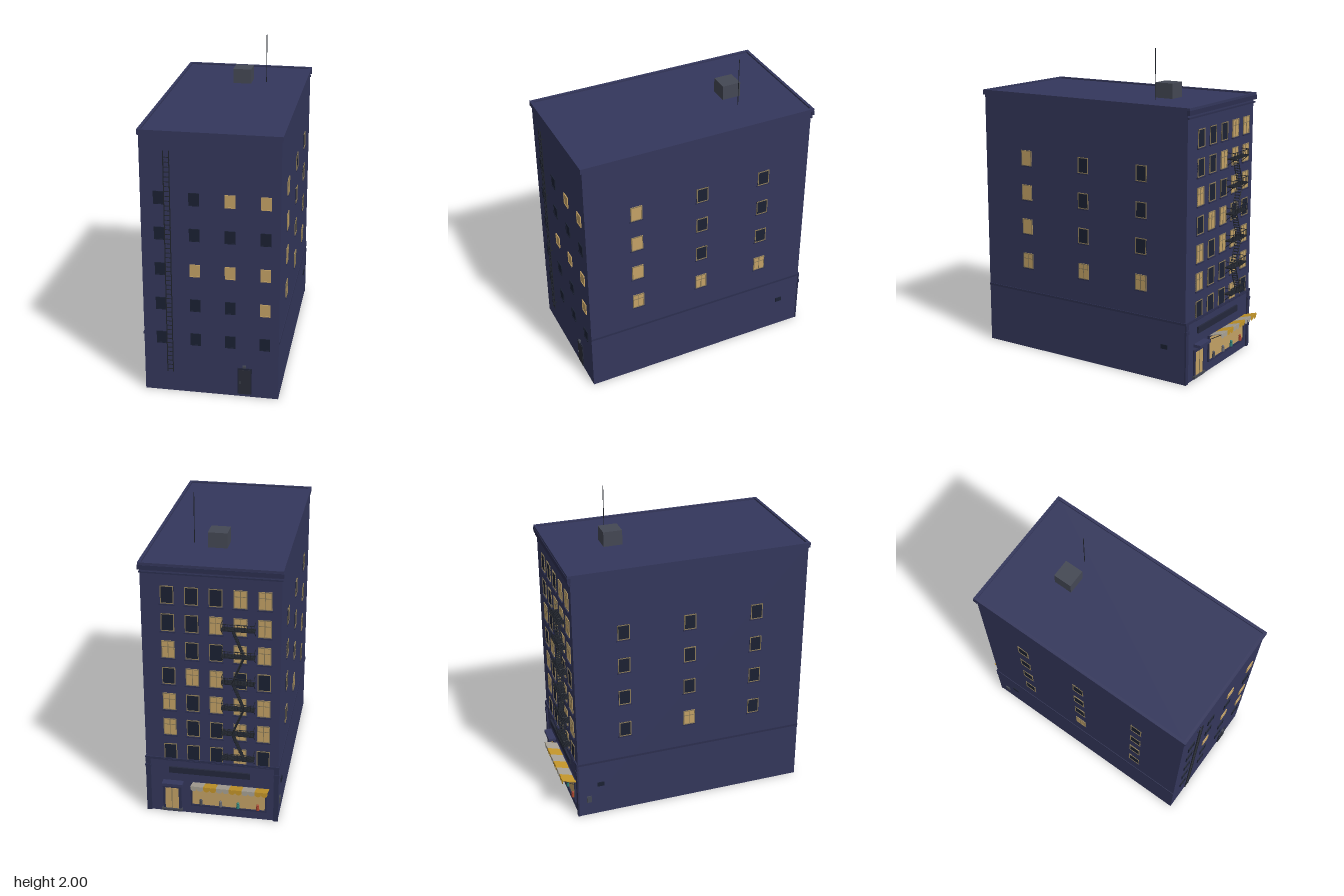
import * as THREE from 'three';

const mats = {};
const mat = (c) => (mats[c] ??= new THREE.MeshStandardMaterial({ color: c, side: THREE.DoubleSide }));
const WALL = 0x34375c, TRIM = 0x2c2f50, LIT = 0xc4a266, DARK = 0x1b2133, FRAME = 0x8a7a58,
  IRON = 0x20242c, GREY = 0x444854, GOLD = 0xc4962a, CREAM = 0xa8a296;

function add(parent, name, geometry, color, x, y, z) {
  const m = new THREE.Mesh(geometry, mat(color));
  m.name = name;
  m.position.set(x, y, z);
  parent.add(m);
  return m;
}
const box = (p, name, c, w, h, d, x, y, z) => add(p, name, new THREE.BoxGeometry(w, h, d), c, x, y, z);

// Group whose local z = 0 is a wall surface, with +z pointing outward
function wall(root, name, x, z, turn) {
  const g = new THREE.Group();
  g.name = name;
  g.position.set(x, 0, z);
  g.rotation.y = turn;
  root.add(g);
  return g;
}

// Straight bar between two points
function bar(p, name, a, b, r, c = IRON) {
  const A = new THREE.Vector3(...a), B = new THREE.Vector3(...b), d = B.clone().sub(A);
  const m = add(p, name, new THREE.CylinderGeometry(r, r, d.length(), 6), c, 0, 0, 0);
  m.position.copy(A).add(B).multiplyScalar(0.5);
  m.quaternion.setFromUnitVectors(new THREE.Vector3(0, 1, 0), d.normalize());
}

// Window: glass, four frame strips, optional glazing bars and sill
function windowUnit(p, x, y, w, h, lit, { frame = FRAME, t = 0.005, bars = false, sill = 0 } = {}) {
  const g = new THREE.Group();
  g.name = 'window';
  g.position.set(x, y, 0);
  p.add(g);
  box(g, 'glass', lit ? LIT : DARK, w, h, 0.004, 0, 0, 0.001);
  for (const s of [-1, 1]) {
    box(g, 'frameSide', frame, t, h, 0.008, s * (w - t) / 2, 0, 0.002);
    box(g, 'frameRail', frame, w, t, 0.008, 0, s * (h - t) / 2, 0.002);
  }
  if (bars) {
    box(g, 'mullion', frame, 0.004, h, 0.006, 0, 0, 0.002);
    box(g, 'transom', frame, w, 0.004, 0.006, 0, h * 0.15, 0.002);
  }
  if (sill) box(g, 'sill', TRIM, w + 0.012, 0.008, sill, 0, -h / 2 - 0.004, sill / 2);
}

function buildRearWall(g) {
  // Plain windows, four columns by five rows
  const lit = ['0011', '0000', '0111', '0001', '0000'];
  [1.285, 1.06, 0.83, 0.6, 0.37].forEach((y, r) => [-0.305, -0.095, 0.118, 0.33].forEach((x, c) => {
    const on = lit[r][c] === '1';
    windowUnit(g, x, y, 0.063, 0.08, on, { frame: on ? LIT : DARK });
  }));
  // Service ladder
  for (const x of [-0.27, -0.235]) {
    box(g, 'ladderRail', IRON, 0.005, 1.44, 0.005, x, 0.86, 0.015);
    for (const y of [0.2, 0.65, 1.1, 1.52]) box(g, 'ladderBracket', IRON, 0.004, 0.004, 0.015, x, y, 0.007);
  }
  for (let y = 0.16; y < 1.57; y += 0.03) box(g, 'ladderRung', IRON, 0.035, 0.004, 0.004, -0.2525, y, 0.015);
  // Service door and lamp
  box(g, 'doorFrame', 0x22263a, 0.088, 0.178, 0.008, 0.207, 0.108, 0.002);
  box(g, 'serviceDoor', 0x2a2d38, 0.074, 0.168, 0.008, 0.207, 0.103, 0.004);
  box(g, 'doorHandle', GREY, 0.006, 0.012, 0.008, 0.18, 0.1, 0.01);
  box(g, 'doorLamp', GREY, 0.02, 0.014, 0.014, 0.205, 0.21, 0.007);
}

function buildSideWall(g, columns, lit) {
  [1.28, 1.055, 0.83, 0.6].forEach((y, r) => columns.forEach((x, c) => {
    const on = lit[r][c] === '1';
    windowUnit(g, x, y, 0.077, 0.1, on, { bars: on && r === 3, sill: 0.006 });
  }));
  box(g, 'band', TRIM, 1.51, 0.014, 0.006, 0, 0.388, 0.002);
}

function buildFireEscape(g) {
  const x0 = 0.07, x1 = 0.265, mid = (x0 + x1) / 2, depth = 0.052, step = 0.174;
  for (let i = 0; i < 6; i++) {
    const y = 0.45 + i * step, top = y + 0.04;
    for (let k = 0; k < 6; k++) box(g, 'platformSlat', IRON, x1 - x0, 0.006, 0.007, mid, y, 0.006 + k * 0.0092);
    for (const x of [x0, x1]) {
      box(g, 'platformEnd', IRON, 0.005, 0.008, depth, x, y, depth / 2);
      bar(g, 'endRail', [x, top, 0], [x, top, depth], 0.002);
      bar(g, 'bracket', [x, y - 0.045, 0], [x, y, depth], 0.002);
    }
    bar(g, 'frontRail', [x0, top, depth], [x1, top, depth], 0.0022);
    for (let k = 0; k <= 10; k++) {
      const x = x0 + (x1 - x0) * k / 10;
      bar(g, 'baluster', [x, y, depth], [x, top, depth], 0.0014);
    }
    // Steep stair up to the next platform, alternating direction
    if (i < 5) {
      const s = i % 2 ? 1 : -1, a = mid - s * 0.035, b = mid + s * 0.035;
      for (const z of [0.01, 0.046]) bar(g, 'stairStringer', [a, y, z], [b, y + step, z], 0.003);
      for (let k = 1; k < 10; k++) {
        box(g, 'stairTread', IRON, 0.014, 0.004, 0.036, a + (b - a) * k / 10, y + step * k / 10, 0.028);
      }
    }
  }
}

function buildAwning(g) {
  // Striped awning: six panels, each with two scallops on the valance
  const left = -0.12, w = 0.08;
  for (let i = 0; i < 6; i++) {
    const c = i % 2 ? GOLD : CREAM, x = left + w * (i + 0.5);
    const panel = box(g, 'awningPanel', c, w, 0.004, 0.094, x, 0.243, 0.045);
    panel.rotation.x = -0.3;
    box(g, 'valance', c, w, 0.014, 0.003, x, 0.25, 0.089);
    for (const s of [-1, 1]) {
      add(g, 'scallop', new THREE.CircleGeometry(0.02, 12, Math.PI, Math.PI), c, x + s * 0.02, 0.243, 0.089);
    }
  }
  for (const x of [-0.11, 0.35]) bar(g, 'awningArm', [x, 0.2, 0], [x, 0.25, 0.088], 0.002);
}

function buildStreetWall(g) {
  // Upper windows, seven rows of five
  const lit = ['00011', '00111', '10011', '01100', '10111', '10011', '00010'];
  for (let r = 0; r < 7; r++) for (let c = 0; c < 5; c++) {
    const on = lit[r][c] === '1';
    windowUnit(g, -0.257 + c * 0.144, 1.5 - r * 0.176, 0.08, 0.112, on, { bars: on, sill: 0.012 });
  }
  buildFireEscape(g);
  // Cornice and band courses
  box(g, 'cornice', TRIM, 0.85, 0.028, 0.02, 0, 1.667, 0.009);
  box(g, 'corniceMoulding', TRIM, 0.84, 0.01, 0.012, 0, 1.635, 0.005);
  box(g, 'band', TRIM, 0.84, 0.016, 0.01, 0, 0.388, 0.004);
  for (const s of [-1, 1]) {
    box(g, 'cornerPier', TRIM, 0.03, 0.38, 0.01, s * 0.403, 0.19, 0.004);
    box(g, 'pierCap', TRIM, 0.036, 0.02, 0.014, s * 0.403, 0.33, 0.006);
  }
  box(g, 'fasciaBoard', 0x24283c, 0.51, 0.04, 0.012, -0.015, 0.312, 0.006);
  // Shop window with display goods
  box(g, 'shopGlass', LIT, 0.47, 0.155, 0.004, 0.105, 0.147, 0.003);
  for (const x of [-0.13, 0.34]) box(g, 'shopFrameSide', TRIM, 0.01, 0.17, 0.012, x, 0.147, 0.005);
  for (const y of [0.066, 0.228]) box(g, 'shopFrameRail', TRIM, 0.48, 0.01, 0.014, 0.105, y, 0.006);
  [[-0.07, GREY], [0.055, 0x6a6a70], [0.165, 0x2f7f78], [0.29, 0xa8452f]].forEach(([x, c]) => {
    add(g, 'displayBody', new THREE.CylinderGeometry(0.009, 0.011, 0.026, 10), c, x, 0.086, 0.01);
    add(g, 'displayTop', new THREE.SphereGeometry(0.009, 10, 8), c, x, 0.106, 0.01);
  });
  buildAwning(g);
  // Entrance with canopy and step
  box(g, 'entranceFrame', TRIM, 0.118, 0.19, 0.012, -0.255, 0.1, 0.004);
  box(g, 'entranceDoor', LIT, 0.085, 0.16, 0.012, -0.255, 0.098, 0.006);
  box(g, 'doorStile', FRAME, 0.005, 0.16, 0.014, -0.255, 0.098, 0.007);
  box(g, 'entranceCanopy', WALL, 0.13, 0.018, 0.048, -0.245, 0.222, 0.024);
  box(g, 'entranceStep', GREY, 0.13, 0.014, 0.02, -0.255, 0.022, 0.01);
}

export function createModel() {
  const root = new THREE.Group();
  root.name = 'apartmentBuilding';

  // Main block with a low roof rim
  box(root, 'mainBlock', WALL, 0.83, 1.685, 1.51, 0, 0.8425, 0.035);
  for (const s of [-1, 1]) {
    box(root, 'roofRimSide', WALL, 0.018, 0.032, 1.535, s * 0.414, 1.68, 0.032);
    box(root, 'roofRimEnd', WALL, 0.846, 0.032, 0.018, 0, 1.68, 0.032 + s * 0.759);
  }

  // Roof housing and aerial
  box(root, 'roofHousing', GREY, 0.118, 0.095, 0.12, 0.012, 1.732, -0.35);
  bar(root, 'aerial', [0.165, 1.68, -0.345], [0.165, 2, -0.345], 0.0025);

  buildRearWall(wall(root, 'serviceFacade', 0, 0.79, 0));
  buildStreetWall(wall(root, 'streetFacade', 0, -0.72, Math.PI));

  const left = wall(root, 'leftFacade', 0.415, 0.035, Math.PI / 2);
  buildSideWall(left, [-0.425, 0.015, 0.44], ['100', '100', '100', '111']);
  box(left, 'vent', DARK, 0.045, 0.028, 0.008, 0.61, 0.22, 0.002);

  const right = wall(root, 'rightFacade', -0.415, 0.035, -Math.PI / 2);
  buildSideWall(right, [-0.44, -0.015, 0.425], ['000', '000', '000', '010']);
  box(right, 'vent', DARK, 0.045, 0.028, 0.008, -0.61, 0.22, 0.002);
  box(right, 'meterBox', GREY, 0.03, 0.045, 0.01, -0.69, 0.12, 0.004);
  return root;
}
